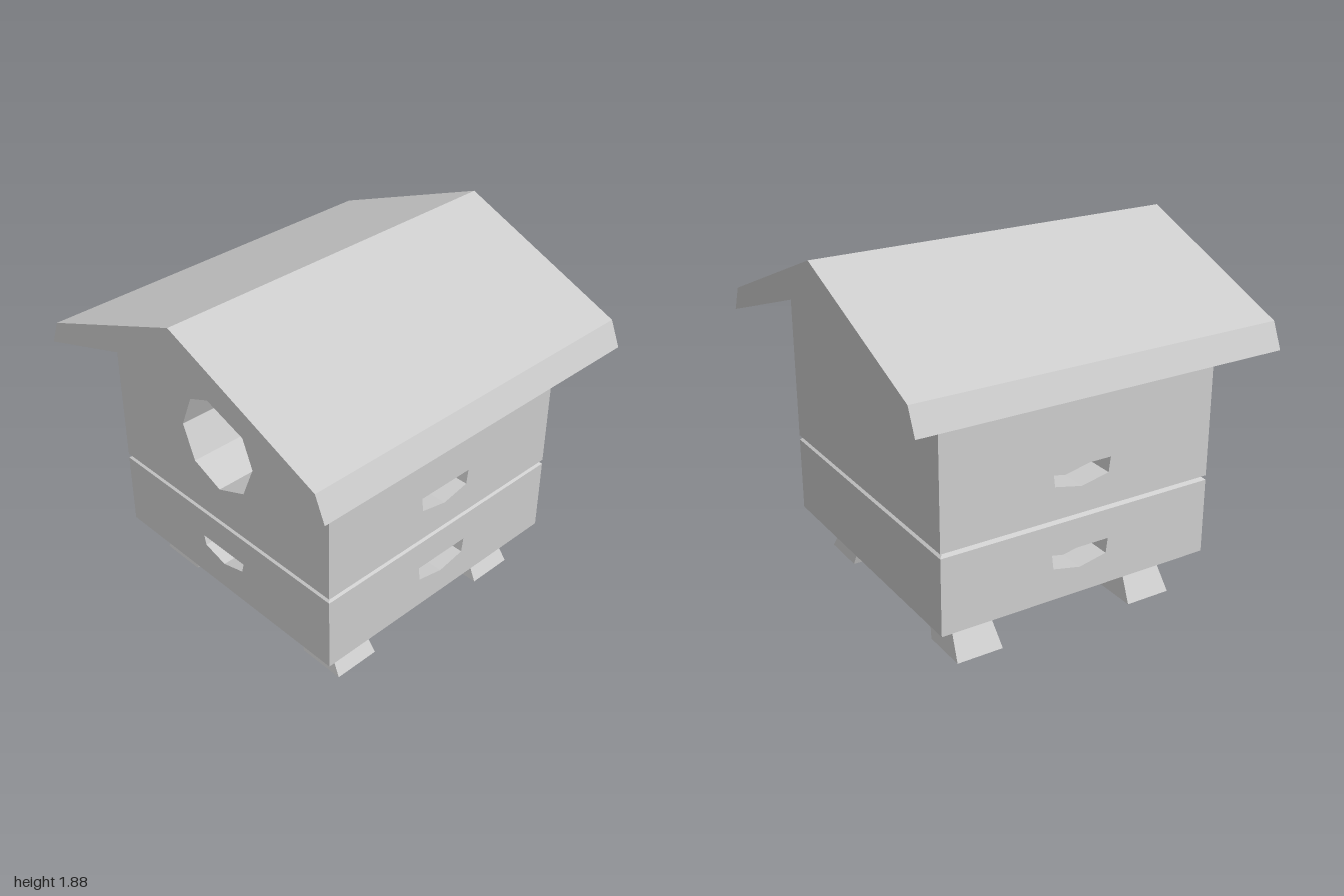
import * as THREE from 'three';

const mat = new THREE.MeshStandardMaterial({ color: 0xcccccc, flatShading: true });
const HALF = 0.775;

function add(parent, name, geometry) {
  const mesh = new THREE.Mesh(geometry, mat);
  mesh.name = name;
  parent.add(mesh);
  return mesh;
}

const toShape = (pts) => new THREE.Shape(pts.map(([x, y]) => new THREE.Vector2(x, y)));

// Inner walls and floor of a pocket sunk behind a counter-clockwise outline
function pocketGeometry(pts, depth) {
  const pos = [];
  const n = pts.length;
  pts.forEach(([x0, y0], i) => {
    const [x1, y1] = pts[(i + 1) % n];
    pos.push(x0, y0, 0, x1, y1, 0, x1, y1, -depth);
    pos.push(x0, y0, 0, x1, y1, -depth, x0, y0, -depth);
    if (i > 0 && i < n - 1) {
      pos.push(...pts[0], -depth, x0, y0, -depth, x1, y1, -depth);
    }
  });
  const g = new THREE.BufferGeometry();
  g.setAttribute('position', new THREE.Float32BufferAttribute(pos, 3));
  g.computeVertexNormals();
  return g;
}

// Flat outer wall with an optional pocket, turned to face its side
function wall(parent, name, outline, angle, hole, depth) {
  const group = new THREE.Group();
  group.name = name;
  const shape = toShape(outline);
  if (hole) {
    shape.holes.push(toShape(hole));
    add(group, name + 'Recess', pocketGeometry(hole, depth));
  }
  add(group, name + 'Face', new THREE.ShapeGeometry(shape));
  group.rotation.y = angle;
  group.position.set(Math.sin(angle) * HALF, 0, Math.cos(angle) * HALF);
  parent.add(group);
}

// Hand grip outline: flat top, shallow pointed bottom
const grip = (w, wLow, top, mid, low) =>
  [[w, top], [-w, top], [-wLow, mid], [0, low], [wLow, mid]];

const rect = (y0, y1) => [[-HALF, y0], [HALF, y0], [HALF, y1], [-HALF, y1]];

// Box whose top and bottom rectangles differ: [x0, x1, z0, z1] at y = 0 and y = h
function taperedBox(bottom, top, h) {
  const g = new THREE.BoxGeometry(1, 1, 1);
  const p = g.attributes.position;
  for (let i = 0; i < p.count; i++) {
    const up = p.getY(i) > 0;
    const r = up ? top : bottom;
    p.setXYZ(i, p.getX(i) > 0 ? r[1] : r[0], up ? h : 0, p.getZ(i) > 0 ? r[3] : r[2]);
  }
  g.computeVertexNormals();
  return g;
}

export function createModel() {
  const model = new THREE.Group();
  model.name = 'beehive';

  // Lower box
  const lower = new THREE.Group();
  lower.name = 'lowerBox';
  model.add(lower);
  const lowRect = rect(0.24, 0.65);
  const sideGripLow = grip(0.165, 0.155, 0.49, 0.41, 0.378);
  wall(lower, 'lowerFront', lowRect, 0, grip(0.155, 0.142, 0.49, 0.435, 0.395), 0.14);
  wall(lower, 'lowerBack', lowRect, Math.PI);
  wall(lower, 'lowerLeft', lowRect, Math.PI / 2, sideGripLow, 0.14);
  wall(lower, 'lowerRight', lowRect, -Math.PI / 2, sideGripLow, 0.14);
  const floor = add(lower, 'lowerFloor', new THREE.PlaneGeometry(HALF * 2, HALF * 2));
  floor.rotation.x = Math.PI / 2;
  floor.position.y = 0.24;

  // Bevelled seam between the boxes
  const inset = 0.745;
  const seam = add(model, 'seam', taperedBox(
    [-HALF, HALF, -HALF, HALF], [-inset, inset, -inset, inset], 0.025));
  seam.position.y = 0.65;

  // Upper box with gabled ends and round entrance
  const upper = new THREE.Group();
  upper.name = 'upperBox';
  model.add(upper);
  const gable = [[-HALF, 0.675], [HALF, 0.675], [HALF, 1.449], [0, 1.715], [-HALF, 1.449]];
  const entrance = Array.from({ length: 8 }, (_, i) => {
    const a = (i * Math.PI) / 4;
    return [Math.cos(a) * 0.26, 1.136 + Math.sin(a) * 0.26];
  });
  const sideGripHigh = grip(0.165, 0.155, 0.93, 0.85, 0.817);
  wall(upper, 'upperFront', gable, 0, entrance, 0.3);
  wall(upper, 'upperBack', gable, Math.PI);
  wall(upper, 'upperLeft', rect(0.675, 1.449), Math.PI / 2, sideGripHigh, 0.14);
  wall(upper, 'upperRight', rect(0.675, 1.449), -Math.PI / 2, sideGripHigh, 0.14);
  const underside = add(upper, 'upperFloor', new THREE.PlaneGeometry(HALF * 2, HALF * 2));
  underside.rotation.x = Math.PI / 2;
  underside.position.y = 0.675;

  // Pitched roof
  const roof = add(model, 'roof', new THREE.ExtrudeGeometry(toShape([
    [0, 1.885], [-0.932, 1.508], [-0.99, 1.375], [0, 1.715], [0.99, 1.375], [0.932, 1.508],
  ]), { depth: 2, bevelEnabled: false }));
  roof.position.z = -1;

  // Splayed legs
  for (const side of [-1, 1]) {
    for (const [end, z] of [['front', 0.505], ['back', -0.517]]) {
      const span = (a, b) => (side > 0 ? [a, b] : [-b, -a]);
      const leg = add(model, end + (side > 0 ? 'LeftLeg' : 'RightLeg'), taperedBox(
        [...span(0.435, 0.692), -0.128, 0.128], [...span(0.355, 0.548), -0.098, 0.098], 0.24));
      leg.position.z = z;
    }
  }
  return model;
}
